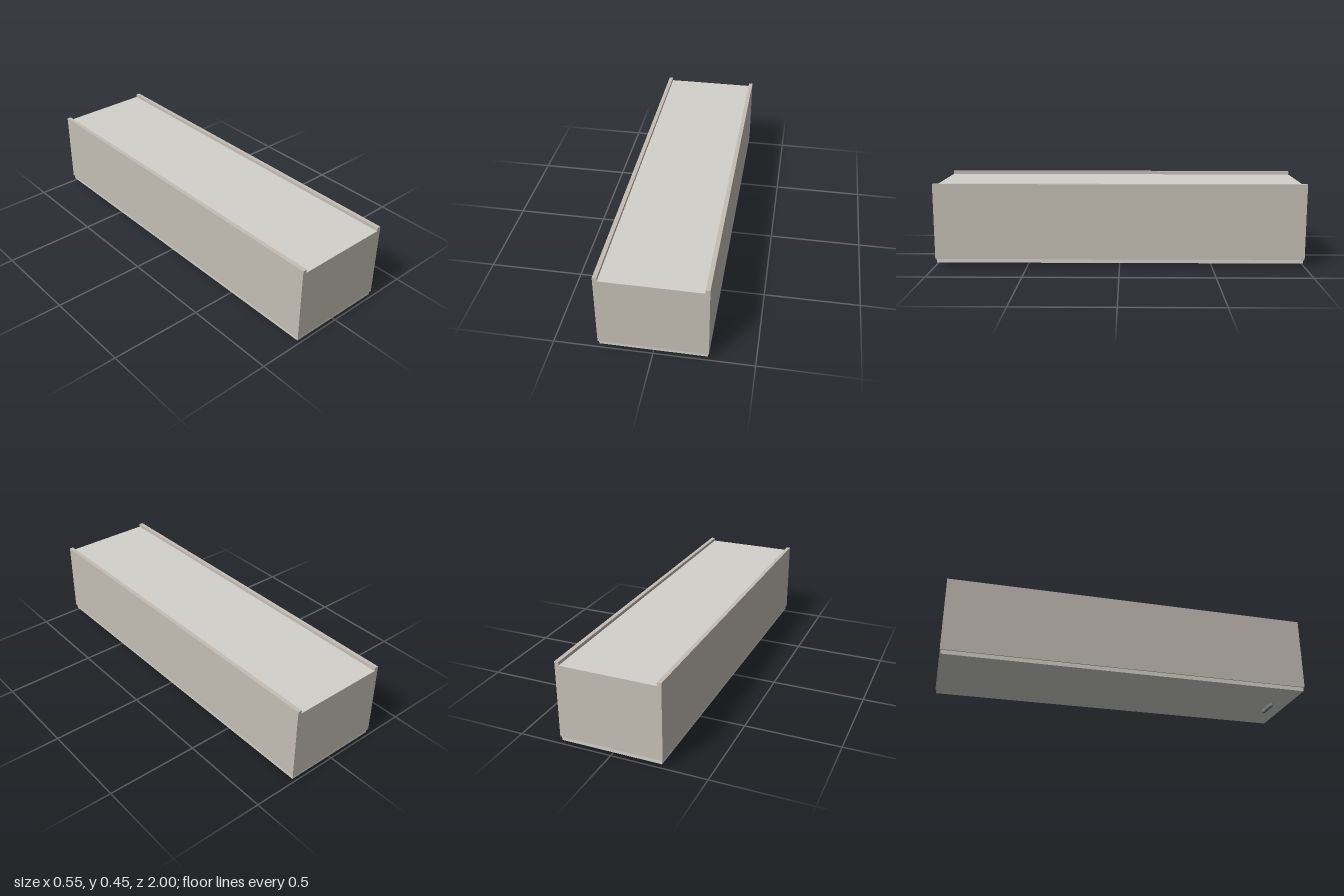
import * as THREE from 'three';

const mat = (color) => new THREE.MeshStandardMaterial({ color });

export function createModel() {
  const group = new THREE.Group();
  const shell = mat(0xc4beb4), panel = mat(0xd2d1ca), dark = mat(0x80858c);

  const add = (name, geometry, material, x, y, z) => {
    const mesh = new THREE.Mesh(geometry, material);
    mesh.name = name;
    mesh.position.set(x, y, z);
    group.add(mesh);
    return mesh;
  };

  // Long housing: a cross-section with a raised rail along each top edge
  const w = 0.274, inner = 0.252, bottom = 0.04, deck = 0.431, top = 0.45;
  const section = new THREE.Shape([
    [-w, bottom], [w, bottom], [w, top], [inner, top],
    [inner, deck], [-inner, deck], [-inner, top], [-w, top],
  ].map(([x, y]) => new THREE.Vector2(x, y)));
  add('housing', new THREE.ExtrudeGeometry(section, { depth: 2, bevelEnabled: false }), shell, 0, 0, -1);

  // Thin panel lying between the rails
  add('topPanel', new THREE.BoxGeometry(inner * 2, 0.001, 2), panel, 0, deck + 0.0005, 0);

  // Base cover, slightly smaller than the housing
  add('baseCover', new THREE.BoxGeometry(0.536, 0.022, 1.988), panel, 0, 0.029, 0);

  // Round-ended finger grip under the front end
  const r = 0.01, half = 0.065 - r;
  const pill = new THREE.Shape();
  pill.absarc(half, 0, r, -Math.PI / 2, Math.PI / 2);
  pill.absarc(-half, 0, r, Math.PI / 2, Math.PI * 1.5);
  const grip = new THREE.ExtrudeGeometry(pill, { depth: 0.018, bevelEnabled: false, curveSegments: 12 });
  grip.rotateX(-Math.PI / 2);
  add('fingerGrip', grip, dark, 0, 0, 0.895);

  return group;
}
